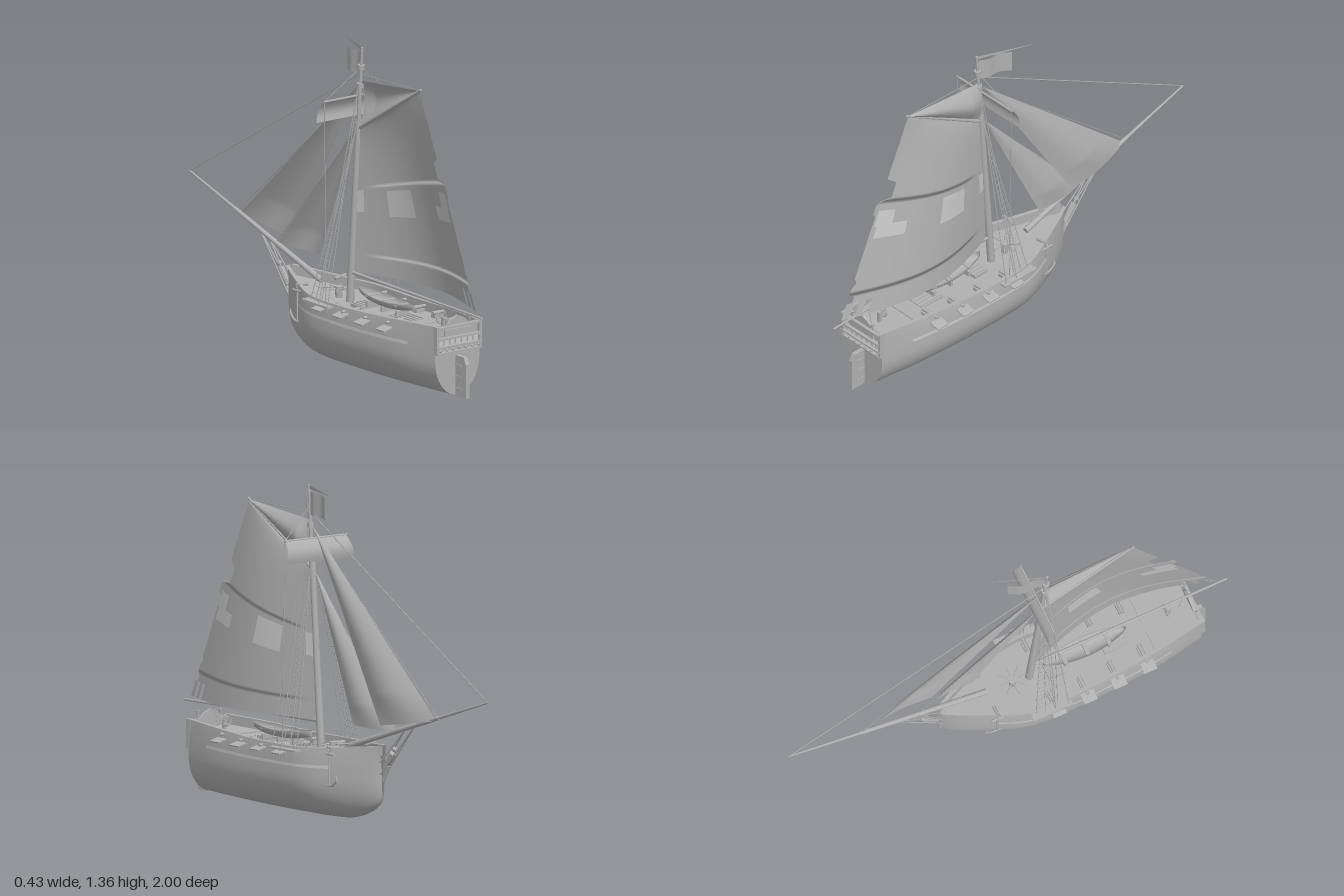
import * as THREE from 'three';
import { ParametricGeometry } from 'three/addons/geometries/ParametricGeometry.js';

const V = (x, y, z) => new THREE.Vector3(x, y, z);

export function createModel() {
  const ship = new THREE.Group();
  ship.name = 'sailingShip';
  const paint = (name, color) => {
    const m = new THREE.MeshStandardMaterial({ color, side: THREE.DoubleSide });
    m.name = name;
    return m;
  };
  const grey = paint('weathered grey', 0xb0b0b0);
  const pale = paint('pale patch grey', 0xc8c8c8);

  // Helpers
  const add = (name, geo, pos = [0, 0, 0], mat = grey) => {
    const m = new THREE.Mesh(geo, mat);
    m.name = name;
    m.position.set(...pos);
    ship.add(m);
    return m;
  };
  const box = (name, w, h, d, pos, mat) => add(name, new THREE.BoxGeometry(w, h, d), pos, mat);
  const rod = (name, a, b, r0, r1 = r0, sides = 8) => {
    const d = b.clone().sub(a);
    const m = add(name, new THREE.CylinderGeometry(r1, r0, d.length(), sides));
    m.position.copy(a).addScaledVector(d, 0.5);
    m.quaternion.setFromUnitVectors(V(0, 1, 0), d.normalize());
    return m;
  };
  const rope = (name, a, b, r = 0.0016) => rod(name, a, b, r, r, 5);
  const surface = (name, fn, nu, nv, mat) =>
    add(name, new ParametricGeometry((u, v, p) => p.copy(fn(u, v)), nu, nv), [0, 0, 0], mat);
  const both = fn => [-1, 1].forEach(fn);

  // Hull stations from stern to bow: z, widest half-breadth, rail half-breadth, keel y, rail y
  const stations = [
    [0.83, 0.115, 0.11, 0.02, 0.325], [0.6, 0.155, 0.143, 0.012, 0.315],
    [0.35, 0.172, 0.16, 0.006, 0.302], [0.12, 0.175, 0.168, 0.004, 0.3],
    [0, 0.16, 0.15, 0.004, 0.302], [-0.12, 0.112, 0.103, 0.01, 0.31],
    [-0.22, 0.066, 0.06, 0.04, 0.32], [-0.28, 0.032, 0.032, 0.075, 0.326],
    [-0.31, 0.006, 0.016, 0.11, 0.33]];
  const curveA = new THREE.CatmullRomCurve3(stations.map(s => V(s[0], s[1], s[2])), false, 'catmullrom');
  const curveB = new THREE.CatmullRomCurve3(stations.map(s => V(s[0], s[3], s[4])), false, 'catmullrom');
  const station = t => {
    const a = curveA.getPoint(t), b = curveB.getPoint(t);
    return { z: a.x, w: a.y, wt: a.z, k: b.y, t: b.z };
  };
  const stationAt = z => {
    let lo = 0, hi = 1;
    for (let i = 0; i < 24; i++) {
      const mid = (lo + hi) / 2;
      if (station(mid).z > z) lo = mid; else hi = mid;
    }
    return station(lo);
  };
  const section = (s, a) => {
    const mid = 0.18, f = Math.abs(a), sg = Math.sign(a);
    if (f < 0.65) {
      const q = f / 0.65 * Math.PI / 2;
      return V(sg * s.w * Math.sin(q), s.k + (mid - s.k) * (1 - Math.cos(q)), s.z);
    }
    const q = (f - 0.65) / 0.35;
    return V(sg * (s.w + (s.wt - s.w) * q * q), mid + (s.t - mid) * q, s.z);
  };
  surface('hull', (u, v) => section(station(u), v * 2 - 1), 64, 48);
  surface('transom', (u, v) => {
    const p = section(station(0), v);
    p.x *= u * 2 - 1;
    return p;
  }, 8, 24);
  const deckDrop = 0.04;
  const inner = s => Math.max(s.wt - 0.012, 0.001);
  surface('deck', (u, v) => {
    const s = station(u);
    return V(inner(s) * (v * 2 - 1), s.t - deckDrop, s.z);
  }, 48, 2);
  both(sd => {
    surface('railCap', (u, v) => {
      const s = station(u);
      return V(sd * (inner(s) + v * (s.wt + 0.005 - inner(s))), s.t + 0.001, s.z);
    }, 48, 1);
    surface('bulwark', (u, v) => {
      const s = station(u);
      return V(sd * inner(s), s.t - deckDrop * v, s.z);
    }, 48, 1);
    // Pale strake along the side
    surface('strake', (u, v) => {
      const s = stationAt(0.68 - u * 0.78);
      const p = section(s, sd * (0.76 + v * 0.035));
      p.x += sd * 0.002;
      return p;
    }, 24, 1, pale);
  });

  // Rudder and stern gallery
  const blade = new THREE.Shape([[0.825, 0.015], [0.9, 0.015], [0.9, 0.16], [0.885, 0.19], [0.825, 0.19]]
    .map(p => new THREE.Vector2(-p[0], p[1])));
  add('rudder', new THREE.ExtrudeGeometry(blade, { depth: 0.018, bevelEnabled: false }), [-0.009, 0, 0])
    .rotation.y = Math.PI / 2;
  for (const y of [0.05, 0.1, 0.15]) box('rudderHinge', 0.024, 0.008, 0.05, [0, y, 0.85]);
  for (const [y, w] of [[0.21, 0.23], [0.235, 0.235], [0.27, 0.225], [0.318, 0.225]])
    box('sternMoulding', w, 0.008, 0.024, [0, y, 0.836]);
  for (let i = -3; i <= 3; i++) {
    box('sternWindow', 0.022, 0.022, 0.008, [i * 0.03, 0.252, 0.833], pale);
    add('sternBead', new THREE.SphereGeometry(0.006, 8, 6), [i * 0.033, 0.222, 0.845]);
  }
  box('namePanel', 0.14, 0.026, 0.008, [0, 0.293, 0.835]);
  const crest = new THREE.Shape([[-0.06, 0.32], [0.06, 0.32], [0.035, 0.345], [0, 0.36], [-0.035, 0.345]]
    .map(p => new THREE.Vector2(...p)));
  add('sternCrest', new THREE.ExtrudeGeometry(crest, { depth: 0.012, bevelEnabled: false }), [0, 0, 0.822]);
  both(sd => {
    box('sternPost', 0.012, 0.12, 0.026, [sd * 0.11, 0.265, 0.832]);
    rod('sternLanternPost', V(sd * 0.06, 0.32, 0.83), V(sd * 0.06, 0.345, 0.835), 0.003);
    add('sternLantern', new THREE.CylinderGeometry(0.008, 0.006, 0.018, 8), [sd * 0.06, 0.345, 0.835]);
  });

  // Guns, carriages and open port lids
  for (const z of [0.14, 0.28, 0.42, 0.56]) both(sd => {
    const s = stationAt(z), y = s.t - 0.025;
    rod('gunBarrel', V(sd * (s.wt - 0.07), y + 0.008, z), V(sd * (s.wt + 0.02), y + 0.008, z), 0.009, 0.006, 10);
    box('gunCarriage', 0.045, 0.014, 0.026, [sd * (s.wt - 0.045), y - 0.006, z]);
    const lid = box('portLid', 0.046, 0.005, 0.06, [sd * (s.w + 0.016), 0.272, z]);
    lid.rotation.z = -sd * 0.25;
    box('portFrame', 0.006, 0.03, 0.045, [sd * (s.wt + 0.003), 0.265, z]);
  });

  // Deck fittings
  for (const [z, d] of [[0.2, 0.07], [0.48, 0.12]]) {
    box('hatchFrame', 0.1, 0.014, d, [0, 0.268, z]);
    for (let i = -2; i <= 2; i++) box('hatchBar', 0.004, 0.004, d, [i * 0.02, 0.277, z]);
  }
  box('deckStep', 0.26, 0.012, 0.012, [0, 0.275, 0.62]);
  add('capstan', new THREE.CylinderGeometry(0.018, 0.014, 0.05, 12), [0, 0.285, 0.02]);
  for (let i = 0; i < 4; i++) {
    const a = i * Math.PI / 4, x = 0.065 * Math.cos(a), z = 0.065 * Math.sin(a);
    rod('capstanBar', V(-x, 0.302, 0.02 - z), V(x, 0.302, 0.02 + z), 0.0025);
  }
  add('helmWheel', new THREE.TorusGeometry(0.024, 0.003, 6, 20), [0, 0.325, 0.72]);
  for (let i = 0; i < 4; i++) {
    const a = i * Math.PI / 4, x = 0.032 * Math.cos(a), y = 0.032 * Math.sin(a);
    rod('helmSpoke', V(-x, 0.325 - y, 0.72), V(x, 0.325 + y, 0.72), 0.0018);
  }
  box('helmStand', 0.014, 0.05, 0.016, [0, 0.305, 0.735]);

  // Ship's boat
  const boatPoint = (u, v) => {
    const w = 0.045 * Math.pow(Math.sin(Math.PI * u), 0.6), a = (v - 0.5) * Math.PI;
    const lift = 0.012 * Math.pow(2 * u - 1, 2);
    return V(w * Math.sin(a), 0.328 + lift - (0.036 - lift) * Math.cos(a), 0.16 + 0.38 * u);
  };
  surface('shipsBoat', boatPoint, 24, 12);
  for (const z of [0.25, 0.35, 0.45]) {
    box('boatSeat', 0.075, 0.004, 0.016, [0, 0.322, z]);
    box('boatChock', 0.06, 0.025, 0.01, [0, 0.286, z]);
  }

  // Masts and spars
  const mastZ = y => 0.1 + (y - 0.3) * 0.075;
  const onMast = (y, x = 0) => V(x, y, mastZ(y));
  rod('lowerMast', onMast(0.25), onMast(1.05), 0.017, 0.012, 14);
  rod('topMast', onMast(1.03), onMast(1.365), 0.01, 0.005, 10);
  for (const y of [1.02, 1.19, 1.27]) rod('mastBand', onMast(y), onMast(y + 0.02), 0.015, 0.015, 12);
  const tip = V(0, 0.585, -1);
  const onSprit = z => V(0, 0.315 + (-0.12 - z) * 0.307, z);
  rod('bowsprit', onSprit(-0.1), onSprit(-0.68), 0.013, 0.009, 12);
  rod('jibBoom', onSprit(-0.6), tip, 0.008, 0.004, 8);
  rod('boom', V(0, 0.388, 0.12), V(0, 0.38, 1), 0.008, 0.005);
  rod('gaff', onMast(1.015), V(0, 1.268, 0.58), 0.008, 0.005);
  rod('topsailYard', V(-0.165, 1.148, 0.135), V(0.165, 1.148, 0.135), 0.005);

  // Mainsail: v runs up from the foot, u from mast to the torn after edge
  const leech = v => {
    if (v < 0.05) return 0.97;
    if (v > 0.09 && v < 0.12) return 0.985;
    if (v > 0.47 && v < 0.55) return 1.03;
    if (v > 0.55 && v < 0.66) return 0.92;
    return 1;
  };
  const mainPoint = (u, v) => {
    const lo = V(0, 0.392, 0.128).lerp(V(0, 0.4, 0.955), u);
    const hi = V(0, 1.01, 0.155).lerp(V(0, 1.26, 0.572), u);
    const p = lo.lerp(hi, v);
    p.x = 0.095 * Math.sin(Math.PI * Math.min(u, 1)) * Math.pow(1 - v, 0.55);
    return p;
  };
  surface('mainsail', (u, v) => mainPoint(u * leech(v), 0.08 + v * 0.92), 28, 60);
  for (const [a, b] of [[0, 0.86], [0.895, 0.93], [0.96, 1]])
    surface('mainsailFoot', (u, v) => mainPoint(a + (b - a) * u, v * 0.08), 16, 4);
  for (const [u0, u1, v0, v1] of [[0.25, 0.48, 0.39, 0.55], [0.76, 0.97, 0.4, 0.47], [0.87, 0.99, 0.46, 0.54], [0.01, 0.06, 0.42, 0.57]])
    both(sd => surface('sailPatch', (u, v) => {
      const p = mainPoint(u0 + (u1 - u0) * u, v0 + (v1 - v0) * v);
      p.x += sd * 0.003;
      return p;
    }, 8, 6, pale));

  // Three-cornered sails, bellied to one side
  const triSail = (name, head, tack, clew, belly) => surface(name, (u, v) => {
    const p = tack.clone().lerp(clew, u).lerp(head, v);
    p.x += belly * Math.sin(Math.PI * u) * Math.pow(1 - v, 0.6) * Math.min(1, 4 * v + 0.5);
    return p;
  }, 14, 24);
  triSail('gaffTopsail', V(0, 1.262, 0.572), V(0, 1.03, 0.165), V(0, 1.22, 0.165), 0.04);
  triSail('jib', V(0, 1.19, 0.145), V(0, 0.47, -0.662), V(0.035, 0.42, -0.335), 0.035);
  triSail('foreStaysail', V(0, 1.01, 0.135), V(0, 0.395, -0.405), V(0.03, 0.402, -0.15), 0.03);

  // Square topsail, flag and pennant
  surface('squareTopsail', (u, v) => V((u * 2 - 1) * (0.182 - 0.022 * v), 1.055 + 0.093 * v,
    0.132 - 0.025 * (1 - v) - 0.015 * Math.sin(Math.PI * v)), 16, 8);
  surface('flag', (u, v) => V(0.04 * u + 0.008 * Math.sin(u * 7), 1.245 + 0.095 * v - 0.01 * u, 0.17 - 0.15 * u), 16, 4);
  surface('pennant', (u, v) => V(0.088 * u, 1.357 - 0.004 * u + (v - 0.5) * 0.014 * (1 - u * 0.85),
    0.178 - 0.235 * u), 16, 2);

  // Standing rigging
  rope('foreStay', onMast(1.255), tip, 0.0025);
  rope('jibStay', onMast(1.2), onSprit(-0.67));
  rope('innerStay', onMast(1.02), onSprit(-0.41));
  rope('peakHalyard', onMast(1.25), V(0, 1.262, 0.56));
  rope('mainSheet', V(0, 0.383, 0.8), V(0, 0.29, 0.78));
  both(sd => {
    const foot = z => V(sd * (stationAt(z).wt + 0.006), 0.29, z);
    const feet = [0.05, 0.09, 0.13].map(foot), top = onMast(1.03, sd * 0.01);
    feet.forEach(f => rope('shroud', f, top, 0.002));
    for (let i = 1; i < 24; i++) {
      const k = i / 26;
      rope('ratline', feet[0].clone().lerp(top, k), feet[2].clone().lerp(top, k), 0.0012);
    }
    for (const z of [0.13, 0.19]) rope('backstay', V(sd * 0.188, 0.285, z), onMast(1.22, sd * 0.006), 0.002);
    box('channel', 0.04, 0.008, 0.18, [sd * 0.178, 0.285, 0.115]);
    rope('yardLift', V(sd * 0.16, 1.15, 0.135), onMast(1.28));
    rope('yardBrace', V(sd * 0.162, 1.15, 0.135), V(sd * 0.165, 0.29, 0.15));

    // Bow rails and anchors
    rod('headRail', V(sd * 0.014, 0.21, -0.31), onSprit(-0.52), 0.003);
    rod('headRail', V(sd * 0.016, 0.26, -0.31), onSprit(-0.46), 0.003);
    const x = sd * 0.12;
    rod('cathead', V(sd * 0.07, 0.305, -0.1), V(sd * 0.128, 0.312, -0.1), 0.007, 0.007, 6);
    rod('anchorShank', V(x, 0.15, -0.105), V(x, 0.295, -0.105), 0.004);
    rod('anchorStock', V(x, 0.282, -0.075), V(x, 0.282, -0.135), 0.005);
    add('anchorRing', new THREE.TorusGeometry(0.01, 0.002, 6, 14), [x, 0.304, -0.105]).rotation.y = Math.PI / 2;
    const arms = add('anchorArms', new THREE.TorusGeometry(0.05, 0.005, 6, 16, Math.PI * 0.8), [x, 0.2, -0.105]);
    arms.rotation.set(0, Math.PI / 2, Math.PI * 1.1, 'YXZ');
    both(e => {
      const fluke = add('anchorFluke', new THREE.ConeGeometry(0.011, 0.026, 4), [x, 0.188, -0.105 + e * 0.047]);
      fluke.scale.x = 0.5;
    });
  });

  // Figurehead under the bowsprit
  rod('figureBody', V(0, 0.24, -0.325), V(0, 0.305, -0.375), 0.012, 0.015, 10);
  add('figureHead', new THREE.SphereGeometry(0.012, 12, 8), [0, 0.322, -0.388]);
  rod('stemKnee', V(0, 0.18, -0.31), V(0, 0.25, -0.34), 0.008, 0.012, 8);
  return ship;
}
